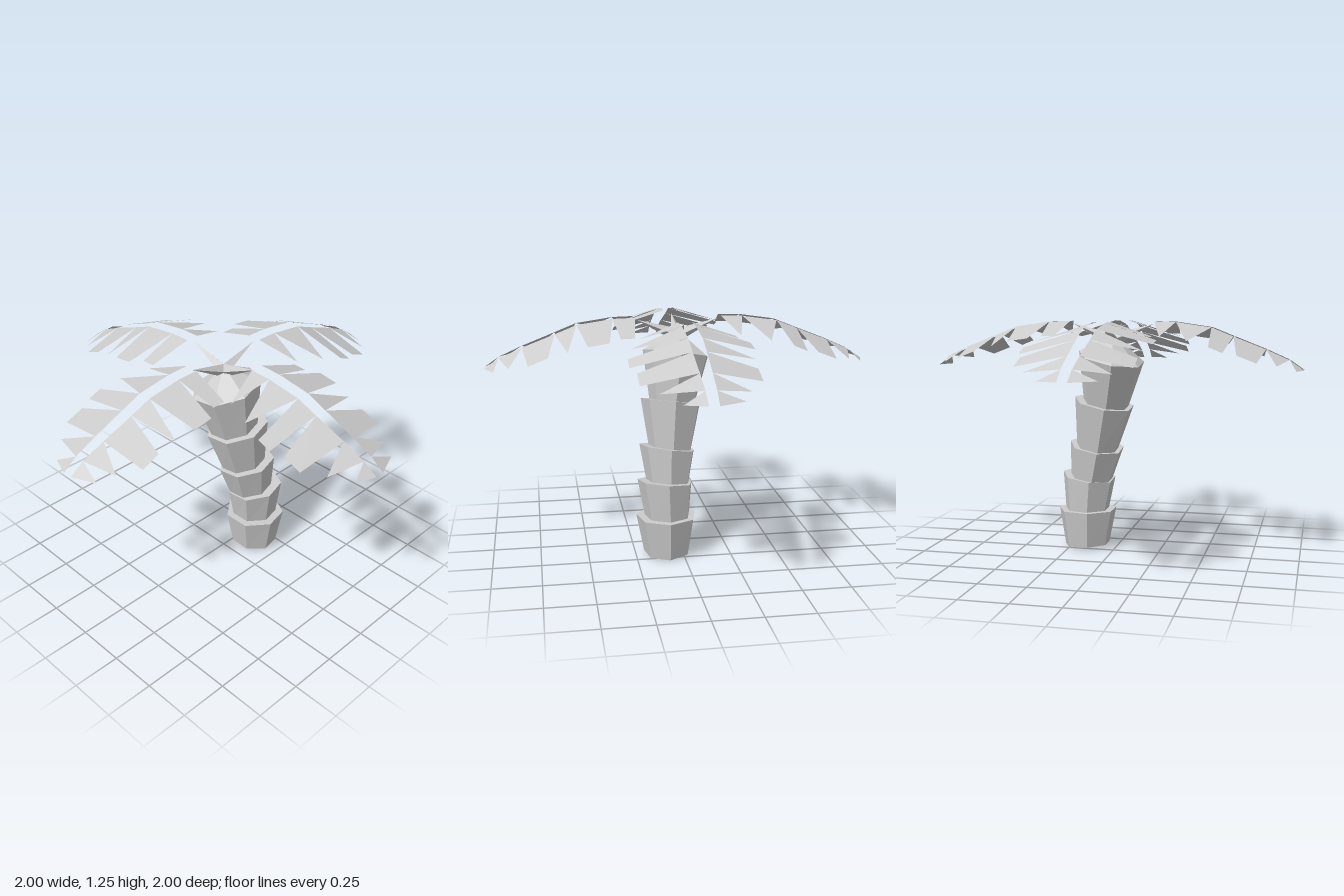
import * as THREE from 'three';

const plain = new THREE.MeshStandardMaterial({ color: 0xcccccc, flatShading: true, side: THREE.DoubleSide });
plain.name = 'plain grey';

// Flat-shaded mesh from a list of triangle corner points
function meshFrom(name, points) {
  const geometry = new THREE.BufferGeometry().setFromPoints(points);
  geometry.computeVertexNormals();
  const mesh = new THREE.Mesh(geometry, plain);
  mesh.name = name;
  return mesh;
}

// Seven-sided ring, tilted by a slope along x and z
const SIDES = 7;
function ring([x, y, z, r, sx, sz]) {
  return Array.from({ length: SIDES }, (_, i) => {
    const a = ((i + 0.5) / SIDES) * Math.PI * 2;
    const dx = Math.sin(a) * r, dz = Math.cos(a) * r;
    return new THREE.Vector3(x + dx, y + sx * dx + sz * dz, z + dz);
  });
}

// One flared trunk collar, closed at both ends; apex raises the top into a cone
function collar(name, low, high, apex) {
  const b = ring(low), t = ring(high), pts = [];
  const cb = new THREE.Vector3(...low.slice(0, 3));
  const ct = apex || new THREE.Vector3(...high.slice(0, 3));
  for (let i = 0; i < SIDES; i++) {
    const j = (i + 1) % SIDES;
    pts.push(b[i], b[j], t[j], b[i], t[j], t[i], ct, t[i], t[j], cb, b[j], b[i]);
  }
  return meshFrom(name, pts);
}

// Arched spine of a frond: distance from the trunk and height
const spine = [[0.225, 1.25], [0.34, 1.247], [0.525, 1.22], [0.638, 1.175], [0.805, 1.11], [0.925, 1.057], [1, 1.005]];

// Leaflet tips for each side: start, end, reach sideways, drop
const leafletsBack = [
  [0.25, 0.32, 0.257, 0.07], [0.38, 0.485, 0.303, 0.075], [0.583, 0.583, 0.283, 0.075],
  [0.68, 0.777, 0.272, 0.063], [0.873, 0.873, 0.2, 0.045], [0.95, 0.95, 0.155, 0.03],
];
const leafletsFront = [
  [0.29, 0.29, 0.24, 0.07], [0.433, 0.433, 0.292, 0.075], [0.545, 0.615, 0.318, 0.08],
  [0.68, 0.777, 0.29, 0.067], [0.87, 0.87, 0.215, 0.045], [0.963, 0.963, 0.125, 0.025],
];

function leafletRow(name, leaflets, side, gap) {
  const pts = [];
  leaflets.forEach(([x0, x1, reach, drop], i) => {
    const [xa, ya] = spine[i], [xb, yb] = spine[i + 1];
    const heightAt = (x) => ya + ((yb - ya) * (x - xa)) / (xb - xa) - drop;
    const inner = (x) => side * (gap - 0.01 * Math.max(0, (x - 0.6) / 0.4));
    const a = new THREE.Vector3(xa, ya, inner(xa)), b = new THREE.Vector3(xb, yb, inner(xb));
    const c = new THREE.Vector3(x1, heightAt(x1), side * reach);
    const d = new THREE.Vector3(x0, heightAt(x0), side * reach);
    const tris = x0 === x1 ? [[a, b, c]] : [[a, b, c], [a, c, d]];
    for (const [p, q, r] of tris) pts.push(...(side > 0 ? [p, r, q] : [p, q, r]));
  });
  return meshFrom(name, pts);
}

export function createModel() {
  const model = new THREE.Group();
  model.name = 'palmTree';

  // Trunk: each row is [x, y, z, radius, x slope, z slope]
  const lows = [
    [0.08, 0.013, -0.165, 0.125, -0.04, 0.06], [0.077, 0.2, -0.165, 0.12, 0, 0],
    [0.07, 0.385, -0.138, 0.115, 0.09, -0.13], [0.052, 0.56, -0.1, 0.115, 0.15, -0.15],
    [0.032, 0.795, -0.048, 0.122, 0.12, -0.19],
  ];
  const highs = [
    [0.083, 0.215, -0.163, 0.162, 0, 0], [0.087, 0.4, -0.155, 0.148, 0.09, -0.13],
    [0.068, 0.572, -0.106, 0.15, 0.15, -0.15], [0.04, 0.812, -0.058, 0.163, 0.12, -0.19],
    [0.005, 1.055, -0.01, 0.179, 0.14, -0.2],
  ];
  const trunk = new THREE.Group();
  trunk.name = 'trunk';
  lows.forEach((low, i) => {
    const apex = i === 4 ? new THREE.Vector3(0, 1.18, 0) : null;
    trunk.add(collar(`trunkCollar${i + 1}`, low, highs[i], apex));
  });
  model.add(trunk);

  // Four fronds with a thin stalk each
  const from = new THREE.Vector3(0, 1.15, 0), to = new THREE.Vector3(0.215, 1.235, 0);
  const dir = to.clone().sub(from);
  for (let k = 0; k < 4; k++) {
    const frond = new THREE.Group();
    frond.name = `frond${k + 1}`;
    frond.add(leafletRow('leafletsBack', leafletsBack, -1, 0.038));
    frond.add(leafletRow('leafletsFront', leafletsFront, 1, 0.03));
    const stalk = new THREE.Mesh(new THREE.ConeGeometry(0.035, dir.length(), 4), plain);
    stalk.name = 'stalk';
    stalk.position.copy(from).add(to).multiplyScalar(0.5);
    stalk.quaternion.setFromUnitVectors(new THREE.Vector3(0, 1, 0), dir.clone().normalize());
    frond.add(stalk);
    frond.rotation.y = (k * Math.PI) / 2;
    model.add(frond);
  }
  return model;
}
